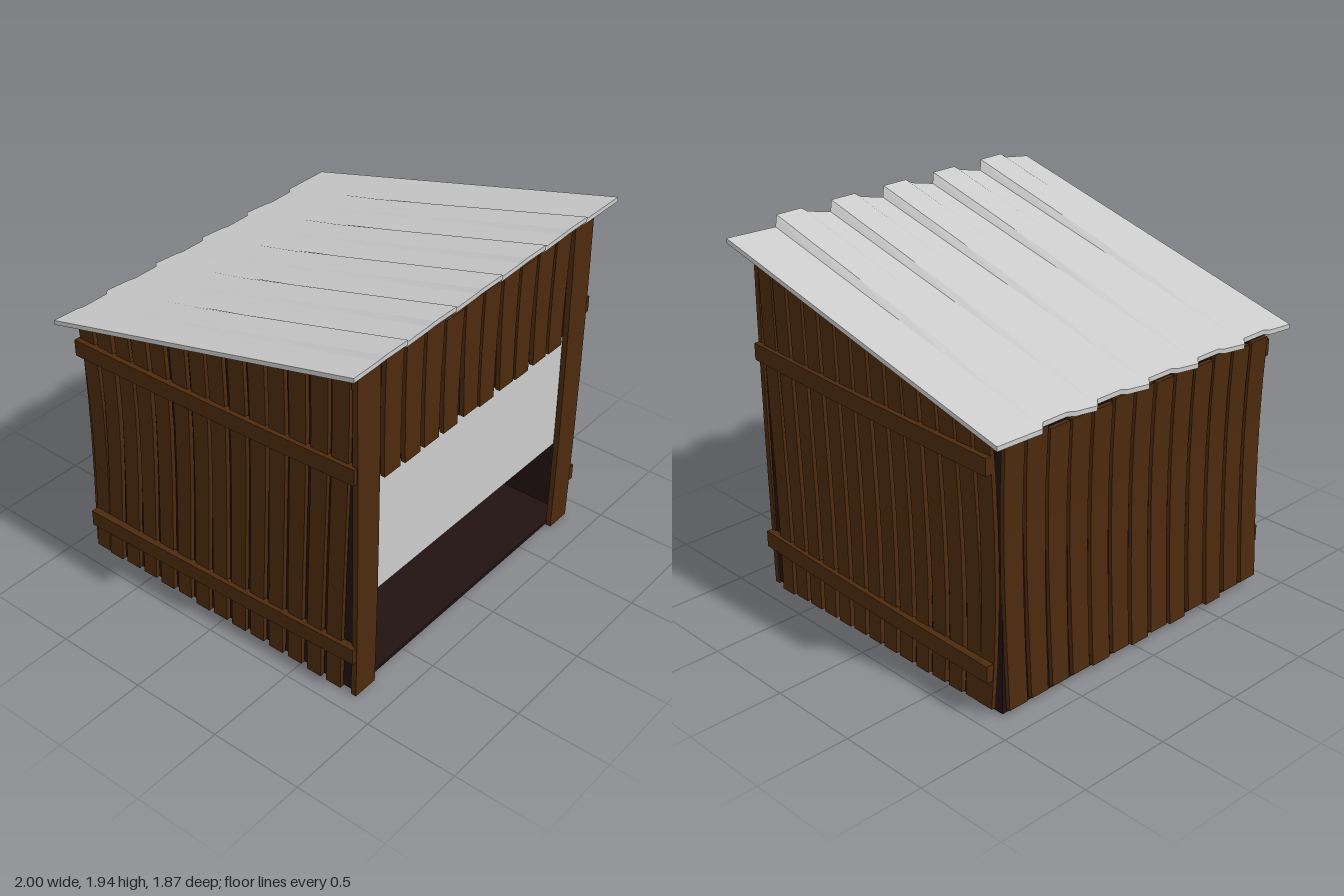
import * as THREE from 'three';

const wood = new THREE.MeshStandardMaterial({ color: 0x4c2a0d, flatShading: true });
const dark = new THREE.MeshStandardMaterial({ color: 0x221212, flatShading: true });
const grey = new THREE.MeshStandardMaterial({ color: 0xcccccc, flatShading: true });

let seed = 7;
const jitter = (a) => {
  seed = (seed * 16807) % 2147483647;
  return (seed / 2147483647 - 0.5) * 2 * a;
};

function add(parent, name, geometry, material, x = 0, y = 0, z = 0) {
  const mesh = new THREE.Mesh(geometry, material);
  mesh.name = name;
  mesh.position.set(x, y, z);
  parent.add(mesh);
  return mesh;
}

// Upright board standing on y = 0, facing +z: foot leans sideways, ends flare outwards
function boardGeometry(width, height, depth, lean = 0, flare = 0, taper = 0) {
  const geo = new THREE.BoxGeometry(width, height, depth, 1, 6, 1).translate(0, height / 2, 0);
  const p = geo.attributes.position;
  for (let i = 0; i < p.count; i++) {
    const t = p.getY(i) / height;
    const s = 1 - t * t * (3 - 2 * t);
    p.setX(i, p.getX(i) * (1 + taper * (t - 0.5)) + lean * s);
    p.setZ(i, p.getZ(i) + flare * (2 * t - 1) ** 2);
  }
  geo.computeVertexNormals();
  return geo;
}

// Corrugated roof sheet sloping to the back; its ridges fade towards the back edge
function roofGeometry() {
  const profile = [[-1, 0]];
  for (let k = 0; k < 5; k++) {
    const x = k * 0.34;
    profile.push([x - 0.86, 0.018], [x - 0.83, 0.038], [x - 0.68, 0.038], [x - 0.645, -0.008]);
  }
  profile.push([1, 0]);
  const n = profile.length - 1;
  const geo = new THREE.BoxGeometry(n, 0.024, 1, n, 1, 6);
  const p = geo.attributes.position;
  for (let i = 0; i < p.count; i++) {
    const [x, h] = profile[Math.round(p.getX(i) + n / 2)];
    const t = p.getZ(i) + 0.5;
    const z = THREE.MathUtils.lerp(-0.935, 0.905, t);
    const edge = x === 1 ? 1 - 0.02 * (1 - t) : x;
    p.setXYZ(i, edge, p.getY(i) + 1.66 + 0.253 * z + h * THREE.MathUtils.lerp(0.2, 1, t), z + 0.75 * h);
  }
  geo.computeVertexNormals();
  return geo;
}

export function createModel() {
  const shed = new THREE.Group();
  shed.name = 'shed';

  // Dark inner shell: floor, back wall, lintel and sloping side walls
  const shell = new THREE.Group();
  shell.name = 'innerShell';
  shed.add(shell);
  add(shell, 'floor', new THREE.BoxGeometry(1.76, 0.02, 1.68), dark, 0, 0.025, -0.02);
  add(shell, 'backWall', new THREE.BoxGeometry(1.76, 1.37, 0.02), dark, 0, 0.7, -0.85);
  add(shell, 'lintel', new THREE.BoxGeometry(1.76, 0.62, 0.02), dark, 0, 1.51, 0.81);
  const side = new THREE.Shape([[-0.82, 0.015], [0.86, 0.015], [0.86, 1.39], [-0.82, 1.815]]
    .map(([x, y]) => new THREE.Vector2(x, y)));
  const sideGeo = new THREE.ExtrudeGeometry(side, { depth: 0.02, bevelEnabled: false }).rotateY(Math.PI / 2);
  add(shell, 'leftInnerWall', sideGeo, dark, 0.86);
  add(shell, 'rightInnerWall', sideGeo, dark, -0.88);

  // Pane across the upper part of the front opening
  add(shed, 'windowPane', new THREE.BoxGeometry(1.6, 0.69, 0.01), grey, 0, 0.875, 0.807);

  // Side cladding and rails, both spreading outwards towards the back
  for (const s of [1, -1]) {
    const wall = new THREE.Group();
    wall.name = s > 0 ? 'leftWall' : 'rightWall';
    wall.rotation.y = s * Math.PI / 2;
    wall.position.x = s * 0.892;
    shed.add(wall);
    for (let i = 0; i < 14; i++) {
      const t = i / 13;
      const z = 0.757 - i * 0.119;
      const foot = 0.01 + 0.05 * t + jitter(0.006);
      const top = 1.82 - 0.395 * t - 0.04 * t * (1 - t) + jitter(0.006);
      const lean = s * (i === 13 ? 0.015 : 0.045);
      const geo = boardGeometry(0.092, top - foot, 0.024, lean, 0.004 + 0.026 * t, 0.1 + jitter(0.06));
      const plank = add(wall, 'sidePlank', geo, wood, -s * z, foot, -0.004 + 0.008 * t);
      plank.rotation.z = jitter(0.004);
    }
    for (const y of [0.25, 1.295]) {
      const geo = new THREE.BoxGeometry(1.69, 0.088, 0.04, 6, 1, 1);
      const p = geo.attributes.position;
      for (let i = 0; i < p.count; i++) {
        const u = -s * p.getX(i) / 0.845;
        p.setY(i, p.getY(i) + 0.012 * u * u + 0.008 * u);
        p.setZ(i, p.getZ(i) + 0.005 * u * u - 0.02 * u);
      }
      geo.computeVertexNormals();
      add(wall, 'sideRail', geo, wood, 0, y, 0.025);
    }
  }

  // Back cladding
  for (let i = 0; i < 13; i++) {
    const foot = 0.04 + jitter(0.012);
    const geo = boardGeometry(0.116, 1.4 + jitter(0.012) - foot, 0.024, 0.025, 0.02, 0.08 + jitter(0.08));
    const plank = add(shed, 'backPlank', geo, wood, (i - 6) * 0.138 + 0.01, foot, -0.866);
    plank.rotation.y = Math.PI;
  }

  // Front posts and the short boards above the opening
  for (const s of [1, -1]) {
    const geo = boardGeometry(0.15, 1.82, 0.03, 0, -0.008, 0.1);
    add(shed, 'frontPost', geo, wood, s * 0.82 - 0.005, 0.003, 0.838);
  }
  for (let i = 0; i < 10; i++) {
    const foot = 1.192 + jitter(0.008);
    const geo = boardGeometry(0.118, 1.815 + jitter(0.015) - foot, 0.024, jitter(0.01), 0.004, 0.12 + jitter(0.08));
    add(shed, 'frontPlank', geo, wood, (i - 4.5) * 0.1435 - 0.005, foot, 0.832);
  }

  add(shed, 'roof', roofGeometry(), grey);
  return shed;
}
